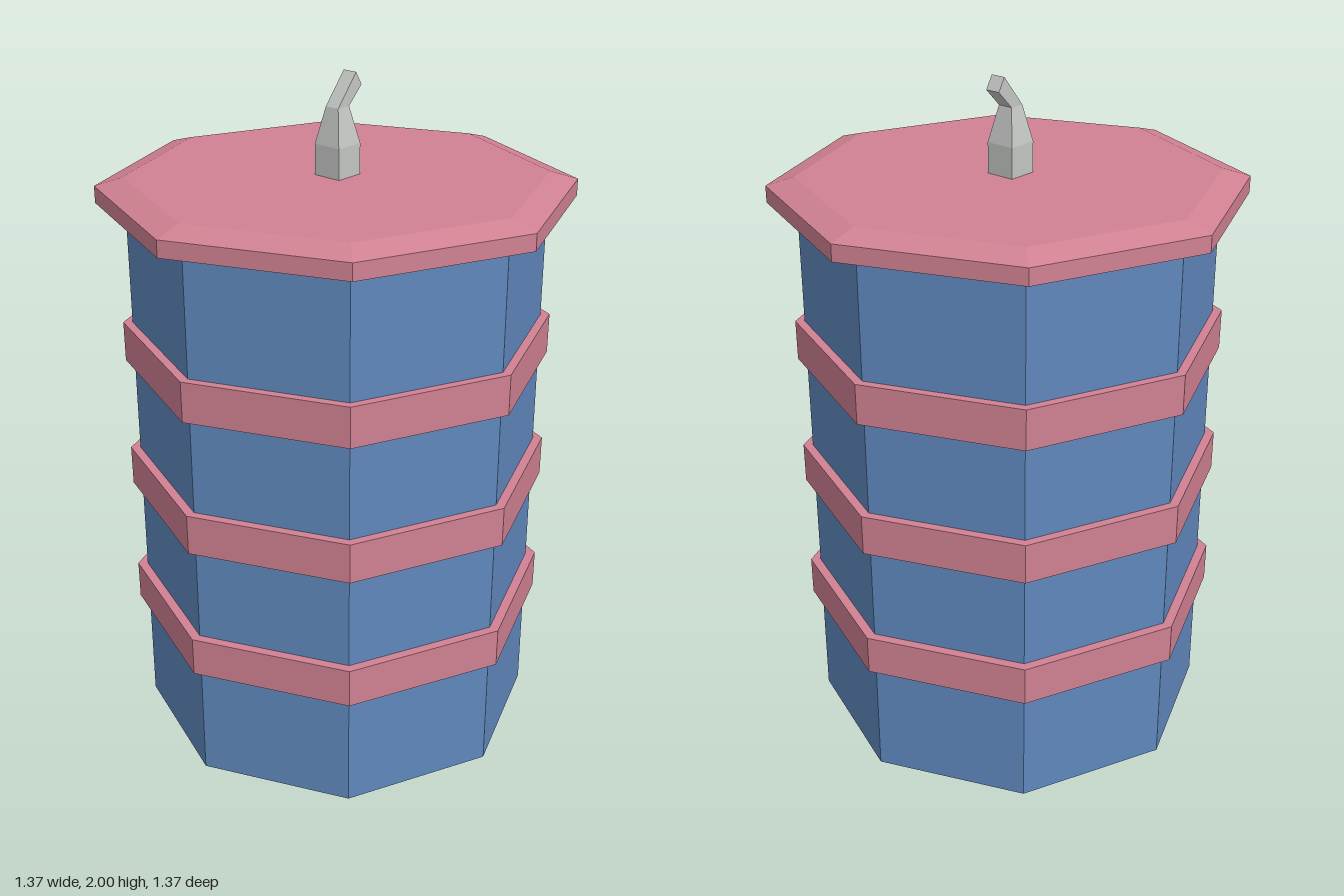
import * as THREE from 'three';

const material = (name, color) => {
  const m = new THREE.MeshStandardMaterial({ color, flatShading: true });
  m.name = name;
  return m;
};

// Bent square rod: each section is [left x, left y, right x, right y, half depth]
function bentRod(sections) {
  const pos = [], index = [];
  for (const [lx, ly, rx, ry, d] of sections) {
    pos.push(lx, ly, d, rx, ry, d, rx, ry, -d, lx, ly, -d);
  }
  const quad = (a, b, c, d) => index.push(a, b, c, a, c, d);
  for (let s = 0; s < sections.length - 1; s++) {
    for (let i = 0; i < 4; i++) {
      const a = s * 4 + i, b = s * 4 + (i + 1) % 4;
      quad(a, b, b + 4, a + 4);
    }
  }
  const top = (sections.length - 1) * 4;
  quad(top, top + 1, top + 2, top + 3);
  quad(3, 2, 1, 0);
  const indexed = new THREE.BufferGeometry();
  indexed.setAttribute('position', new THREE.Float32BufferAttribute(pos, 3));
  indexed.setIndex(index);
  const geometry = indexed.toNonIndexed();
  geometry.computeVertexNormals();
  return geometry;
}

export function createModel() {
  const group = new THREE.Group();
  group.name = 'barrel';
  const blue = material('blue', 0x6088bd);
  const pink = material('pink', 0xd08192);
  const grey = material('grey', 0xc4c6c4);

  const add = (name, geometry, mat) => {
    const mesh = new THREE.Mesh(geometry, mat);
    mesh.name = name;
    group.add(mesh);
  };
  // Eight-sided drum section with corners on the x and z axes
  const drum = (name, y0, y1, r0, r1, mat) => {
    const g = new THREE.CylinderGeometry(r1, r0, y1 - y0, 8);
    g.translate(0, (y0 + y1) / 2, 0);
    add(name, g, mat);
  };

  // Body
  drum('body', 0, 1.64, 0.597, 0.602, blue);

  // Three raised hoops
  [[0.35, 0.467], [0.753, 0.873], [1.16, 1.28]].forEach(([y0, y1], i) =>
    drum('hoop' + (i + 1), y0, y1, 0.627, 0.628, pink));

  // Lid with bevelled upper and lower edges
  const lid = [[0, 1.625], [0.605, 1.625], [0.686, 1.643], [0.686, 1.692], [0.605, 1.716], [0, 1.716]];
  add('lid', new THREE.LatheGeometry(lid.map(p => new THREE.Vector2(...p)), 8), pink);

  // Tapered wick with a bent tip
  add('wick', bentRod([
    [-0.046, 1.70, 0.044, 1.70, 0.045],
    [-0.046, 1.805, 0.044, 1.805, 0.045],
    [-0.024, 1.91, 0.021, 1.91, 0.023],
    [0.05, 2.0, 0.073, 1.962, 0.023],
  ]), grey);

  return group;
}
